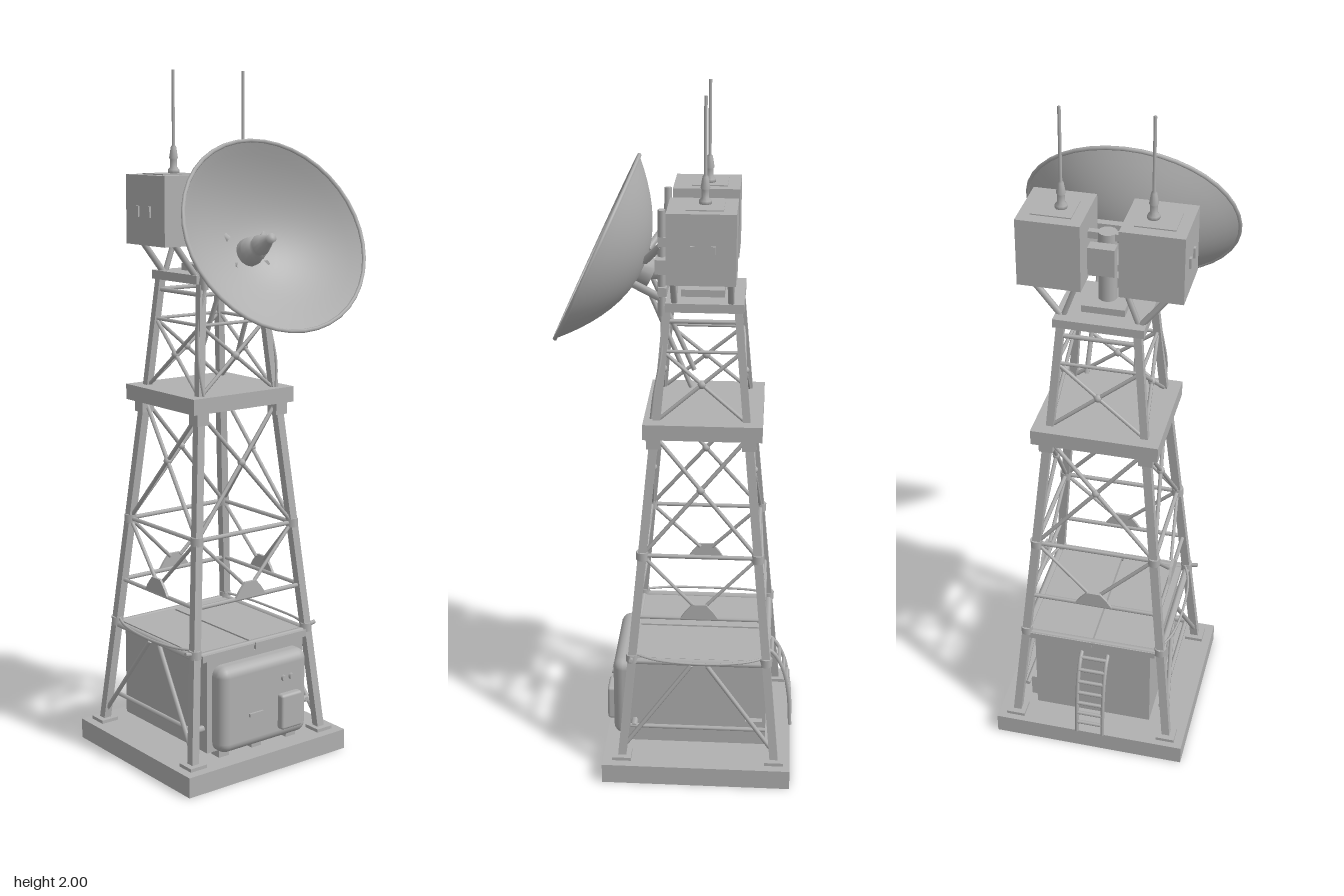
import * as THREE from 'three';
import { RoundedBoxGeometry } from 'three/addons/geometries/RoundedBoxGeometry.js';

const CZ = -0.072; // tower axis in z
const V = (x, y, z) => new THREE.Vector3(x, y, z);

export function createModel() {
  const model = new THREE.Group();
  model.name = 'radioTower';
  const grey = new THREE.MeshStandardMaterial({ color: 0xb0b0b0 });
  grey.name = 'paintedSteel';
  const greyOpen = new THREE.MeshStandardMaterial({ color: 0xb0b0b0, side: THREE.DoubleSide });
  greyOpen.name = 'dishSteel';

  const group = (name, parent = model) => {
    const g = new THREE.Group();
    g.name = name;
    parent.add(g);
    return g;
  };
  const add = (name, geo, parent = model, mat = grey) => {
    const m = new THREE.Mesh(geo, mat);
    m.name = name;
    parent.add(m);
    return m;
  };
  // box given by its min and max corners
  const box = (name, x0, x1, y0, y1, z0, z1, parent = model, r = 0) => {
    const s = [x1 - x0, y1 - y0, z1 - z0];
    const geo = r ? new RoundedBoxGeometry(...s, 3, r) : new THREE.BoxGeometry(...s);
    const m = add(name, geo, parent);
    m.position.set((x0 + x1) / 2, (y0 + y1) / 2, (z0 + z1) / 2);
    return m;
  };
  // round or square bar between two points
  const bar = (name, a, b, r, parent = model, sides = 6) => {
    const d = b.clone().sub(a);
    const geo = new THREE.CylinderGeometry(r, r, d.length(), sides);
    if (sides === 4) geo.rotateY(Math.PI / 4);
    const m = add(name, sides === 4 ? geo.toNonIndexed() : geo, parent);
    if (sides === 4) m.geometry.computeVertexNormals();
    m.position.copy(a).add(b).multiplyScalar(0.5);
    m.quaternion.setFromUnitVectors(V(0, 1, 0), d.normalize());
    return m;
  };
  const cable = (name, pts, r, parent = model) =>
    add(name, new THREE.TubeGeometry(new THREE.CatmullRomCurve3(pts), 20, r, 6), parent);

  // half widths of the tower at a height
  const halfX = y => y < 1.08 ? 0.236 - 0.096 * (y - 0.06) : 0.136 - 0.09 * (y - 1.08);
  const halfZ = y => y < 1.08 ? 0.226 - 0.094 * (y - 0.06) : 0.128 - 0.09 * (y - 1.08);
  // point on face f (0 front, 1 left, 2 back, 3 right); u runs -1..1 between its legs
  const onFace = (f, u, y) => {
    const x = halfX(y), z = halfZ(y);
    return [V(u * x, y, CZ + z), V(x, y, CZ - u * z), V(-u * x, y, CZ - z), V(-x, y, CZ + u * z)][f];
  };

  // foundation
  box('foundation', -0.29, 0.29, 0, 0.06, -0.345, 0.21);

  // legs, foot plates and joints
  const legs = group('legs');
  for (const sx of [-1, 1]) for (const sz of [-1, 1]) {
    const p = y => V(sx * halfX(y), y, CZ + sz * halfZ(y));
    bar('lowerLeg', p(0.06), p(1.07), 0.017, legs, 4);
    bar('upperLeg', p(1.09), p(1.43), 0.015, legs, 4);
    const f = p(0.06);
    box('footPlate', f.x - 0.028, f.x + 0.028, 0.06, 0.07, f.z - 0.028, f.z + 0.028, legs);
    for (const y of [0.38, 0.7]) {
      const j = add('legJoint', new THREE.CylinderGeometry(0.018, 0.018, 0.025, 8), legs);
      j.position.copy(p(y));
    }
    // corner bracket under the platform
    const b = p(1.04);
    box('cornerBracket', b.x - 0.02, b.x + 0.02, 1.025, 1.065, b.z - 0.02, b.z + 0.02, legs);
  }

  // lattice, the same on each face
  const gusset = new THREE.Shape([[-0.055, 0], [0.055, 0], [0.04, 0.022], [0.02, 0.045],
    [-0.02, 0.045], [-0.04, 0.022]].map(p => new THREE.Vector2(...p)));
  const lattice = group('lattice');
  for (let f = 0; f < 4; f++) {
    const cross = (y0, y1, r) => {
      const span = s => bar('crossBrace', onFace(f, -s, y0), onFace(f, s, y1), r, lattice);
      span(1); span(-1);
      const w0 = halfX(y0), w1 = halfX(y1);
      const hub = add('crossHub', new THREE.SphereGeometry(0.012, 8, 6), lattice);
      hub.position.copy(onFace(f, 0, y0 + (y1 - y0) * w0 / (w0 + w1)));
    };
    for (const y of [0.37, 0.51, 0.7, 1.385])
      bar('girt', onFace(f, -1, y), onFace(f, 1, y), y === 0.37 ? 0.011 : 0.0065, lattice);
    cross(0.7, 1.06, 0.006);
    cross(1.1, 1.3, 0.0055);
    bar('girt', onFace(f, -1, 1.3), onFace(f, 1, 1.3), 0.005, lattice);
    for (const s of [-1, 1]) {
      bar('vBrace', onFace(f, s, 0.7), onFace(f, s * 0.1, 0.55), 0.0055, lattice);
      if (f % 2) bar('baseBrace', onFace(f, s, 0.09), onFace(f, s * 0.12, 0.36), 0.007, lattice);
    }
    const g = add('gusset', new THREE.ExtrudeGeometry(gusset, { depth: 0.008, bevelEnabled: false }), lattice);
    g.position.copy(onFace(f, 0, 0.512));
    g.rotation.y = f * Math.PI / 2;
  }

  // platforms
  box('platform', -0.18, 0.18, 1.06, 1.105, -0.243, 0.09);
  box('topPlatform', -0.125, 0.125, 1.415, 1.44, -0.185, 0.03);

  // equipment shelter
  const shelter = group('shelter');
  box('shelterBody', -0.175, 0.18, 0.08, 0.355, -0.27, 0.14, shelter);
  box('shelterFront', -0.157, 0.165, 0.08, 0.338, 0.08, 0.187, shelter, 0.03);
  box('shelterRoofLeft', 0.004, 0.195, 0.355, 0.375, -0.28, 0.14, shelter);
  box('shelterRoofRight', -0.19, -0.004, 0.355, 0.375, -0.28, 0.14, shelter);
  box('junctionBox', 0.048, 0.125, 0.115, 0.222, 0.18, 0.208, shelter, 0.008);
  box('doorHandle', -0.06, -0.01, 0.178, 0.188, 0.18, 0.194, shelter);
  for (const x of [0.068, 0.096]) {
    const k = add('knob', new THREE.CylinderGeometry(0.009, 0.009, 0.012, 10), shelter);
    k.rotation.x = Math.PI / 2;
    k.position.set(x, 0.268, 0.19);
  }
  box('sideVent', 0.18, 0.2, 0.1, 0.17, -0.26, -0.21, shelter);
  for (const x of [-0.12, 0.0, 0.13]) for (const z of [-0.23, -0.06, 0.13])
    box('shelterFoot', x - 0.018, x + 0.018, 0.06, 0.082, z - 0.018, z + 0.018, shelter);
  for (const s of [-1, 1]) {
    bar('sideRail', V(s * 0.21, 0.15, -0.27), V(s * 0.21, 0.15, 0.13), 0.007, shelter);
    bar('railStub', V(s * 0.16, 0.15, 0.12), V(s * 0.215, 0.15, 0.12), 0.01, shelter);
  }

  // loose cable ring above the shelter
  for (const s of [-1, 1]) {
    cable('sideCable', [V(s * 0.2, 0.39, 0.12), V(s * 0.225, 0.385, 0.05), V(s * 0.235, 0.382, -0.08),
      V(s * 0.225, 0.385, -0.2), V(s * 0.2, 0.39, -0.27)], 0.004);
    cable('feederCable', [V(s * 0.1, 1.42, 0.04), V(s * 0.125, 1.3, 0.04), V(s * 0.138, 1.18, 0.06),
      V(s * 0.13, 1.1, 0.07)], 0.004);
    bar('cableHook', V(s * 0.19, 0.38, 0.125), V(s * 0.24, 0.388, 0.125), 0.006);
  }

  // curved cable ladder at the back
  const ladder = group('cableLadder');
  const path = new THREE.CatmullRomCurve3([V(0, 0.06, -0.345), V(0, 0.17, -0.338), V(0, 0.26, -0.318),
    V(0, 0.315, -0.285), V(0, 0.33, -0.25)]);
  for (const x of [-0.045, 0.035])
    add('ladderRail', new THREE.TubeGeometry(path, 16, 0.006, 6), ladder).position.x = x;
  for (let i = 1; i < 8; i++) {
    const p = path.getPointAt(i / 8);
    bar('ladderRung', V(-0.045, p.y, p.z), V(0.035, p.y, p.z), 0.006, ladder);
  }

  // radio cabinets with whip antennas
  const whip = [[0, 0], [0.017, 0], [0.017, 0.012], [0.01, 0.02], [0.01, 0.04], [0.013, 0.045], [0.008, 0.075],
    [0.0045, 0.08], [0.0045, 0.285], [0, 0.285]].map(p => new THREE.Vector2(...p));
  for (const s of [-1, 1]) {
    const cab = group(s > 0 ? 'leftCabinet' : 'rightCabinet');
    const at = s * 0.138;
    box('cabinet', at - 0.087, at + 0.087, 1.522, 1.715, -0.165, 0.02, cab);
    box('cabinetLid', at - 0.055, at + 0.055, 1.714, 1.718, -0.13, -0.03, cab);
    add('whipAntenna', new THREE.LatheGeometry(whip, 10), cab).position.set(s * 0.123, 1.715, -0.078);
    for (const z of [-0.105, -0.05])
      box('latch', s > 0 ? 0.222 : -0.231, s > 0 ? 0.231 : -0.222, 1.6, 1.63, z - 0.006, z + 0.006, cab);
    // struts from the top platform
    for (const z of [-0.15, 0.005]) {
      bar('cabinetStrut', V(s * 0.105, 1.43, z), V(s * 0.18, 1.525, z), 0.009, cab);
      bar('cabinetStrut', V(s * 0.105, 1.43, z), V(s * 0.07, 1.525, z), 0.008, cab);
    }
  }

  // mast and bridging gear between the cabinets
  const mast = group('mast');
  bar('mastPole', V(0, 1.43, CZ), V(0, 1.66, CZ), 0.026, mast, 12);
  box('mastBox', -0.033, 0.04, 1.56, 1.64, -0.135, -0.1, mast);
  for (const y of [1.55, 1.64]) box('bridge', -0.055, 0.055, y, y + 0.02, -0.085, -0.065, mast);
  box('mastFoot', -0.06, 0.06, 1.435, 1.46, -0.13, -0.01, mast);

  // dish support frame
  const mount = group('dishMount');
  for (const s of [-1, 1]) {
    bar('mountPost', V(s * 0.105, 1.4, 0.04), V(s * 0.125, 1.7, 0.038), 0.011, mount);
    bar('mountArm', V(s * 0.12, 1.6, 0.04), V(s * 0.06, 1.54, 0.09), 0.011, mount);
    bar('mountArm', V(s * 0.11, 1.45, 0.04), V(s * 0.05, 1.47, 0.12), 0.011, mount);
    bar('lowerStay', V(s * 0.07, 1.18, -0.04), V(s * 0.06, 1.46, 0.08), 0.007, mount);
    box('mountClamp', s * 0.125 - 0.03, s * 0.125 + 0.03, 1.53, 1.57, 0.018, 0.055, mount);
  }
  for (const y of [1.46, 1.6]) box('mountBeam', -0.13, 0.13, y, y + 0.025, 0.025, 0.048, mount);
  bar('mountPivot', V(0, 1.5, -0.06), V(0, 1.5, 0.11), 0.03, mount, 10);

  // dish: the lathe axis points forwards and upwards
  const dish = group('dish');
  dish.position.set(0, 1.5, 0.1);
  dish.rotation.x = Math.PI / 2 - 0.439;
  const R = 0.303, D = 0.14;
  const bowl = [];
  for (let i = 0; i <= 10; i++) bowl.push(new THREE.Vector2(R * i / 10, D * (i / 10) ** 2));
  const bowlMesh = add('bowl', new THREE.LatheGeometry(bowl, 40), dish, greyOpen);
  bowlMesh.scale.z = 0.91;
  const rim = add('rim', new THREE.TorusGeometry(R, 0.006, 6, 40).rotateX(Math.PI / 2), dish);
  rim.position.y = D;
  rim.scale.z = 0.91;
  const feed = [[0, -0.03], [0.04, -0.03], [0.04, 0.02], [0.036, 0.02], [0.036, 0.04], [0.026, 0.045], [0.026, 0.06],
    [0.03, 0.063], [0.022, 0.085], [0.013, 0.105], [0.013, 0.12], [0, 0.12]].map(p => new THREE.Vector2(...p));
  add('feedHorn', new THREE.LatheGeometry(feed, 14), dish);

  return model;
}
